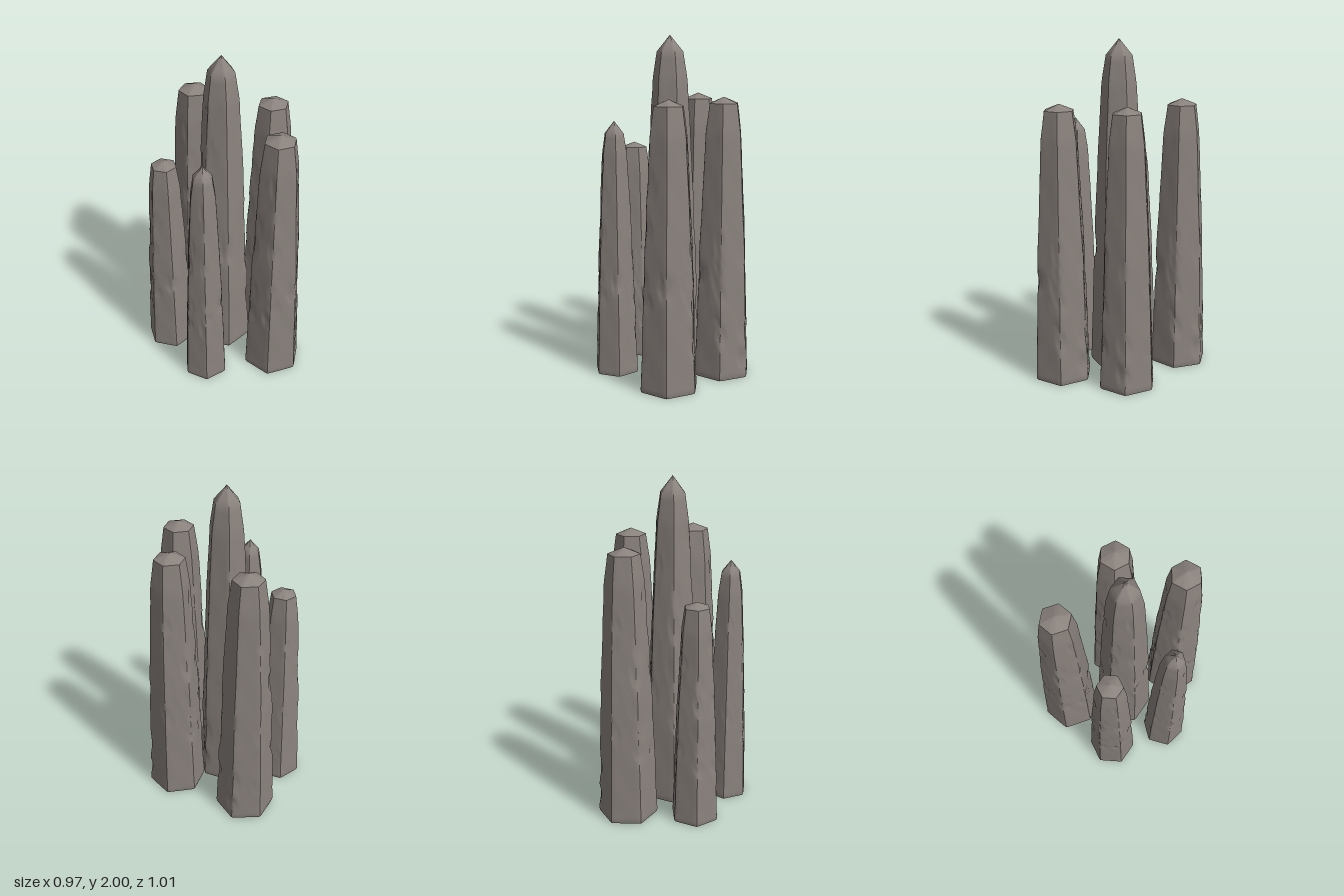
import * as THREE from 'three';
import { toCreasedNormals } from 'three/addons/utils/BufferGeometryUtils.js';

const SIDES = 72, ROWS = 46, DEG = Math.PI / 180;

// Radius fraction at height fraction t; the last-but-one key is the rim of the cap
const BLUNT = [[0, 1], [0.48, 0.85], [0.73, 0.72], [0.88, 0.645], [0.978, 0.51], [1, 0]];
const POINTED = [[0, 1], [0.25, 0.92], [0.5, 0.81], [0.7, 0.7], [0.875, 0.58], [0.952, 0.44], [1, 0]];

function sample(keys, t) {
  const i = Math.max(1, keys.findIndex(k => k[0] >= t - 1e-9));
  const [t0, r0] = keys[i - 1], [t1, r1] = keys[i];
  return r0 + (r1 - r0) * (t - t0) / (t1 - t0);
}

// Seeded random numbers
function seeded(seed) {
  return () => {
    seed = (seed * 16807) % 2147483647;
    return seed / 2147483647;
  };
}

// Chips knocked out of the stone: angle, height fraction, angular size, height size, depth
function makeChips() {
  const rand = seeded(4127);
  const chips = [[0, 0.31, 0.22, 0.035, 0.055], [Math.PI, 0.57, 0.25, 0.05, 0.06], [0.1, 0.22, 0.12, 0.012, 0.04]];
  for (let i = 0; i < 30; i++) {
    const corner = Math.floor(rand() * 6) * 60 * DEG + (rand() - 0.5) * 0.45;
    chips.push([corner, 0.06 + rand() * 0.8, 0.12 + rand() * 0.2, 0.015 + rand() * 0.04, 0.015 + rand() * 0.035]);
  }
  return chips;
}

const CHIPS = makeChips();

// Relative inward wear of the surface at an angle and height
function wear(a, t) {
  let w = 0.008 + 0.004 * Math.sin(3 * a + 17 * t) + 0.004 * Math.sin(5 * a - 31 * t + 1)
    + 0.003 * Math.sin(11 * a + 53 * t + 2);
  for (const [ca, ct, sa, st, depth] of CHIPS) {
    const da = Math.atan2(Math.sin(a - ca), Math.cos(a - ca)) / sa;
    const d = Math.hypot(da, (t - ct) / st);
    w += depth * (1 - THREE.MathUtils.smoothstep(d, 0.6, 1.1));
  }
  return w * THREE.MathUtils.smoothstep(t, 0, 0.06) * (1 - THREE.MathUtils.smoothstep(t, 0.9, 0.98));
}

// Tapered six-sided stone, turned on a lathe and then pressed into a hexagon
function columnGeometry(keys, radius, height) {
  const rim = keys[keys.length - 2][0];
  const profile = [new THREE.Vector2(0, 0), new THREE.Vector2(0.5, 0), new THREE.Vector2(0.975, 0)];
  for (let i = 0; i <= ROWS; i++) {
    const t = Math.max(0.008, rim * i / ROWS);
    profile.push(new THREE.Vector2(sample(keys, t), t));
  }
  for (const f of [0.33, 0.67, 1]) {
    const t = rim + (1 - rim) * f;
    profile.push(new THREE.Vector2(f === 1 ? 0 : sample(keys, t), t));
  }
  const geo = new THREE.LatheGeometry(profile, SIDES);
  const pos = geo.attributes.position;
  for (let i = 0; i < pos.count; i++) {
    const x = pos.getX(i), t = pos.getY(i), z = pos.getZ(i);
    const a = Math.atan2(z, x);
    const local = (((a / DEG) % 60) + 60) % 60 - 30;
    const hex = Math.min(0.987, Math.cos(30 * DEG) / Math.cos(local * DEG));
    const s = radius * hex * (1 - wear(a, t));
    pos.setXYZ(i, x * s, t * height, z * s);
  }
  return toCreasedNormals(geo, 0.68);
}

export function createModel() {
  const group = new THREE.Group();
  const stone = new THREE.MeshStandardMaterial({ color: 0x8a827d });
  stone.name = 'grey stone';

  // name, profile, x, z, radius, height, turn in degrees
  const columns = [
    ['centreColumn', POINTED, -0.026, 0.022, 0.181, 2.0, 30],
    ['backColumn', BLUNT, -0.092, -0.345, 0.181, 1.65, 6],
    ['leftColumn', BLUNT, 0.306, -0.056, 0.179, 1.65, 58],
    ['frontLeftColumn', BLUNT, 0.216, 0.34, 0.181, 1.65, -4],
    ['rightColumn', BLUNT, -0.355, -0.035, 0.15, 1.35, 30],
    ['frontRightColumn', POINTED, -0.211, 0.31, 0.138, 1.51, -18],
  ];
  for (const [name, keys, x, z, radius, height, turn] of columns) {
    const mesh = new THREE.Mesh(columnGeometry(keys, radius, height), stone);
    mesh.name = name;
    mesh.position.set(x, 0, z);
    mesh.rotation.y = -turn * DEG;
    group.add(mesh);
  }
  return group;
}
